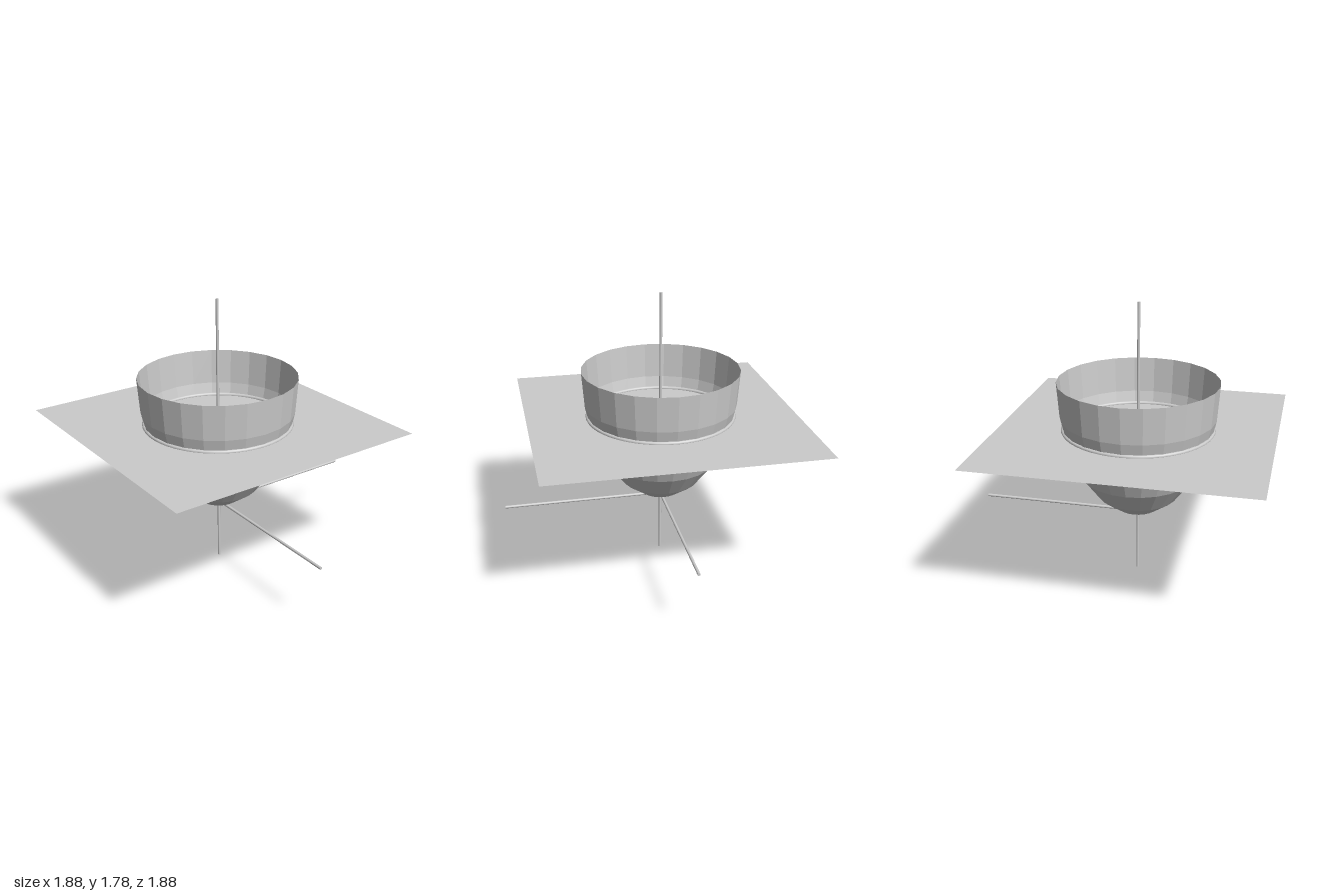
import * as THREE from 'three';

const RIM_Y = 1.29;      // height of the bowl rim
const ORIGIN_Y = 0.415;  // bottom of the bowl, where the axes meet
const PLANE_Y = 0.98;    // height of the cutting plane

export function createModel() {
  const model = new THREE.Group();
  const flat = new THREE.MeshStandardMaterial({ color: 0xcccccc, flatShading: true, side: THREE.DoubleSide });
  const smooth = new THREE.MeshStandardMaterial({ color: 0xcccccc });

  const add = (name, geometry, material, x, y, z) => {
    const mesh = new THREE.Mesh(geometry, material);
    mesh.name = name;
    mesh.position.set(x, y, z);
    model.add(mesh);
    return mesh;
  };

  // Open bowl: lower half of a stretched faceted sphere
  const bowl = new THREE.SphereGeometry(1, 24, 6, 0, Math.PI * 2, Math.PI / 2, Math.PI / 2);
  bowl.scale(0.505, RIM_Y - ORIGIN_Y, 0.505);
  add('bowl', bowl, flat, 0, RIM_Y, 0);

  // Thin square plane slicing the bowl
  const plane = new THREE.PlaneGeometry(1.716, 1.716).rotateX(-Math.PI / 2);
  add('cuttingPlane', plane, flat, 0, PLANE_Y, 0);

  // Ring where the plane meets the bowl
  const ring = new THREE.TorusGeometry(0.469, 0.013, 8, 48).rotateX(Math.PI / 2);
  add('intersectionRing', ring, smooth, 0, PLANE_Y + 0.003, 0);

  // Three rods along the axes
  const rod = (length) => new THREE.CylinderGeometry(0.009, 0.009, length, 12);
  add('verticalAxis', rod(1.78), smooth, 0, 0.89, 0);
  add('sideAxis', rod(1.025).rotateZ(Math.PI / 2), smooth, 0.5125, ORIGIN_Y, 0);
  add('frontAxis', rod(1.025).rotateX(Math.PI / 2), smooth, 0, ORIGIN_Y, 0.5125);

  // Bowl axis sits off centre so the whole layout is centred
  for (const part of model.children) {
    part.position.x -= 0.12;
    part.position.z -= 0.142;
  }
  return model;
}
